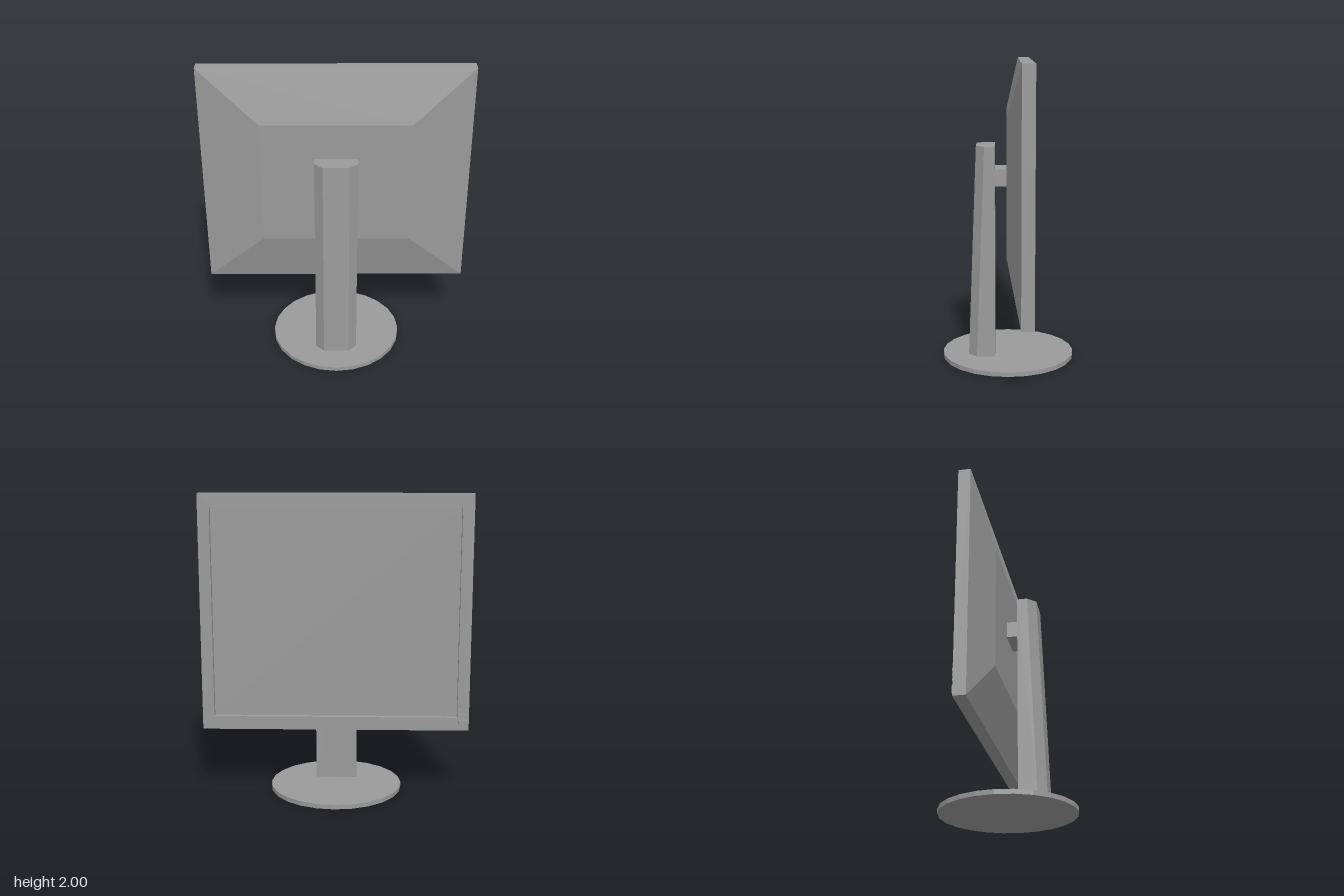
import * as THREE from 'three';
import { ConvexGeometry } from 'three/addons/geometries/ConvexGeometry.js';

const material = new THREE.MeshStandardMaterial({ color: 0x9a9a9a, flatShading: true });

function add(parent, name, geometry, x = 0, y = 0, z = 0) {
  const mesh = new THREE.Mesh(geometry, material);
  mesh.name = name;
  mesh.position.set(x, y, z);
  parent.add(mesh);
  return mesh;
}

// Corners of an upright rectangle at depth z
function rect(w, y0, y1, z) {
  return [[-w, y0], [w, y0], [w, y1], [-w, y1]].map(([x, y]) => new THREE.Vector3(x, y, z));
}

// Horizontal section of the column, chamfered on its rear edges
function columnSection(y, rear) {
  return [[0.14, 0.087], [0.14, rear - 0.055], [0.085, rear]].flatMap(([x, z]) =>
    [new THREE.Vector3(x, y, z), new THREE.Vector3(-x, y, z)]);
}

export function createModel() {
  const model = new THREE.Group();
  model.name = 'monitor';

  // Stand
  const stand = new THREE.Group();
  stand.name = 'stand';
  model.add(stand);
  add(stand, 'base', new THREE.CylinderGeometry(0.443, 0.443, 0.03, 24), 0, 0.015, 0);
  add(stand, 'column', new ConvexGeometry([...columnSection(0.03, 0.265), ...columnSection(1.45, 0.21)]));
  add(stand, 'mountArm', new THREE.BoxGeometry(0.22, 0.11, 0.08), 0, 1.241, 0.05);

  // Screen housing, facing -z
  const head = new THREE.Group();
  head.name = 'screenHousing';
  model.add(head);
  const toPoints = (corners) => corners.map((p) => new THREE.Vector2(p.x, p.y));
  const frame = new THREE.Shape(toPoints(rect(0.882, 0.447, 2, 0)));
  frame.holes.push(new THREE.Path(toPoints(rect(0.805, 0.535, 1.911, 0)).reverse()));
  add(head, 'bezel', new THREE.ExtrudeGeometry(frame, { depth: 0.08, bevelEnabled: false }), 0, 0, -0.155);
  add(head, 'screen', new THREE.BoxGeometry(1.61, 1.376, 0.045), 0, 1.223, -0.0975);
  add(head, 'taperedBack', new ConvexGeometry([...rect(0.882, 0.447, 2, -0.075), ...rect(0.49, 0.8, 1.648, 0.011)]));

  // Buttons in the lower corner of the bezel
  for (let i = 0; i < 4; i++) {
    add(head, 'menuButton', new THREE.BoxGeometry(0.045, 0.012, 0.01), -0.848, 0.645 - i * 0.031, -0.156);
  }
  add(head, 'powerButton', new THREE.BoxGeometry(0.055, 0.048, 0.01), -0.843, 0.492, -0.156);

  return model;
}
